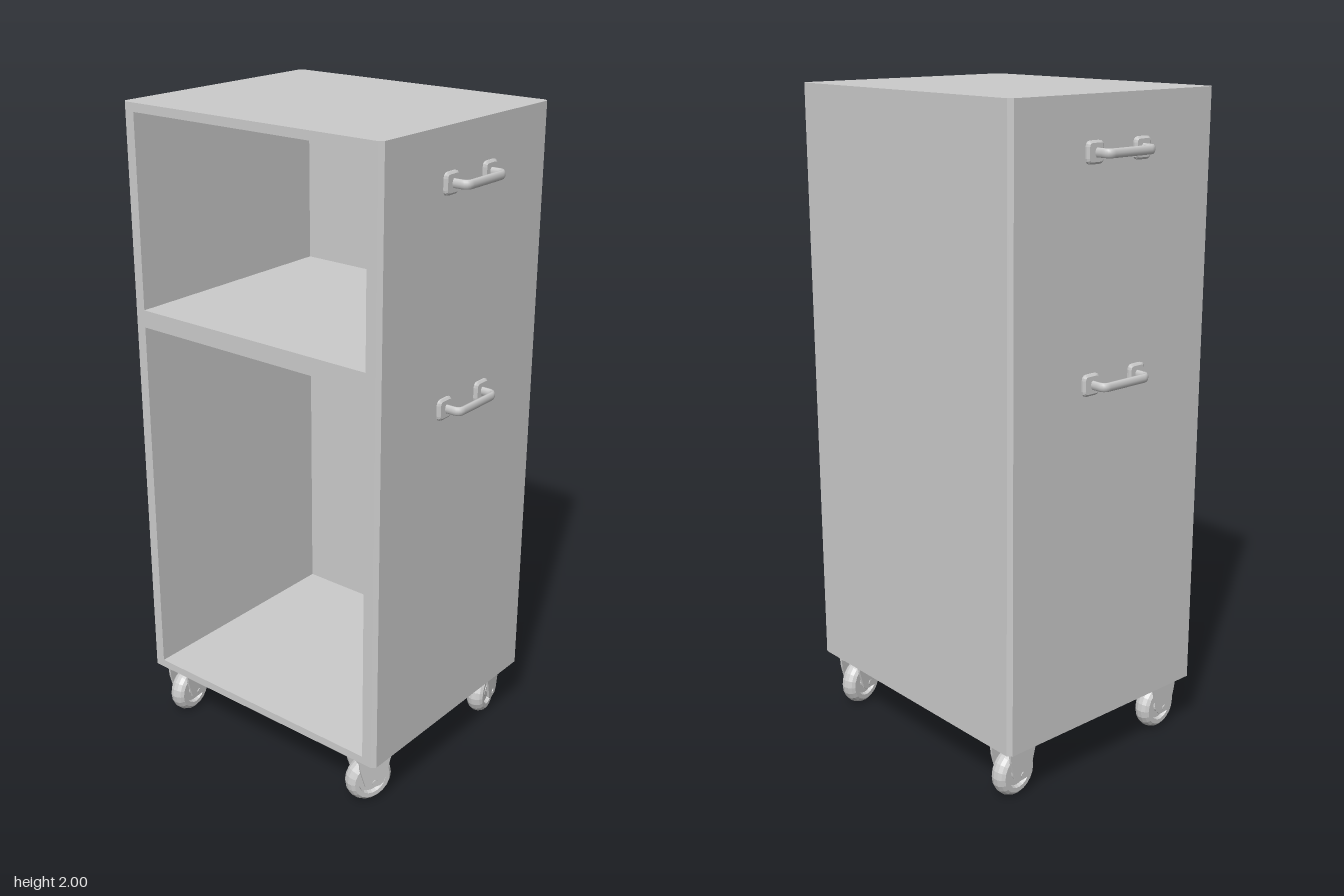
import * as THREE from 'three';

const W = 0.457, D = 0.383, BASE = 0.177, TOP = 2;
const INNER = 0.413, BACK = -0.368, CHAMFER = 0.012;

const grey = new THREE.MeshStandardMaterial({ color: 0xcccccc });
const flatGrey = new THREE.MeshStandardMaterial({ color: 0xcccccc, flatShading: true });

function add(parent, name, geometry, material = flatGrey, x = 0, y = 0, z = 0) {
  const mesh = new THREE.Mesh(geometry, material);
  mesh.name = name;
  mesh.position.set(x, y, z);
  parent.add(mesh);
  return mesh;
}

function polygon(points) {
  return new THREE.Shape(points.map(([x, y]) => new THREE.Vector2(x, y)));
}

function createCabinet() {
  const cabinet = new THREE.Group();
  cabinet.name = 'cabinet';

  // Sides and back: one U-shaped plan with chamfered outer corners, pulled upward
  const c = CHAMFER;
  const plan = polygon([
    [-W + c, -D], [-INNER, -D], [-INNER, -BACK], [INNER, -BACK], [INNER, -D], [W - c, -D],
    [W, -D + c], [W, D - c], [W - c, D], [-W + c, D], [-W, D - c], [-W, -D + c],
  ]);
  const walls = new THREE.ExtrudeGeometry(plan, { depth: TOP - BASE, bevelEnabled: false });
  walls.rotateX(-Math.PI / 2);
  add(cabinet, 'sidesAndBack', walls, flatGrey, 0, BASE, 0);

  // Horizontal boards between the sides
  const boards = [['bottomBoard', BASE, 0.202], ['shelf', 1.345, 1.398], ['topBoard', 1.974, TOP]];
  for (const [name, low, high] of boards) {
    const board = new THREE.BoxGeometry(2 * INNER, high - low, D - BACK);
    add(cabinet, name, board, flatGrey, 0, (low + high) / 2, (D + BACK) / 2);
  }
  return cabinet;
}

// Pull handle pointing to +x, its mounting face at x = 0
function createHandle() {
  const handle = new THREE.Group();
  handle.name = 'handle';

  const s = 0.025;
  const r = 0.01;
  const outline = new THREE.Shape();
  outline.moveTo(-s + r, -s).lineTo(s - r, -s).quadraticCurveTo(s, -s, s, -s + r);
  outline.lineTo(s, s - r).quadraticCurveTo(s, s, s - r, s);
  outline.lineTo(-s + r, s).quadraticCurveTo(-s, s, -s, s - r);
  outline.lineTo(-s, -s + r).quadraticCurveTo(-s, -s, -s + r, -s);
  const plate = new THREE.ExtrudeGeometry(outline, {
    depth: 0.006, bevelThickness: 0.005, bevelSize: 0.006, bevelSegments: 1, curveSegments: 3,
  });
  plate.rotateY(Math.PI / 2);
  for (const z of [-0.09, 0.09]) add(handle, 'handlePlate', plate, flatGrey, 0.002, 0, z);

  // Flattened bar with rounded bends
  const v = (x, z) => new THREE.Vector3(x, 0, z);
  const reach = 0.056, half = 0.088, bend = 0.02;
  const path = new THREE.CurvePath();
  path.add(new THREE.LineCurve3(v(0, -half), v(reach - bend, -half)));
  path.add(new THREE.QuadraticBezierCurve3(v(reach - bend, -half), v(reach, -half), v(reach, -half + bend)));
  path.add(new THREE.LineCurve3(v(reach, -half + bend), v(reach, half - bend)));
  path.add(new THREE.QuadraticBezierCurve3(v(reach, half - bend), v(reach, half), v(reach - bend, half)));
  path.add(new THREE.LineCurve3(v(reach - bend, half), v(0, half)));
  const bar = new THREE.TubeGeometry(path, 48, 0.0075, 10);
  bar.scale(1, 1.75, 1);
  add(handle, 'handleBar', bar, grey);
  return handle;
}

// Caster with its axle along x; the swivel stem lies behind the wheel at -z
function createCaster() {
  const caster = new THREE.Group();
  caster.name = 'caster';
  const axleY = 0.074;

  // Wheel with a rounded tread and recessed hub faces
  const profile = [
    [0, -0.022], [0.02, -0.022], [0.022, -0.016], [0.042, -0.016], [0.046, -0.027], [0.06, -0.027],
    [0.069, -0.019], [0.074, -0.007], [0.074, 0.007], [0.069, 0.019],
    [0.06, 0.027], [0.046, 0.027], [0.042, 0.016], [0.022, 0.016], [0.02, 0.022], [0, 0.022],
  ].map(([r, y]) => new THREE.Vector2(r, y));
  const wheel = new THREE.LatheGeometry(profile, 20);
  wheel.rotateZ(-Math.PI / 2);
  add(caster, 'wheel', wheel, flatGrey, 0, axleY, 0);

  // Tapered fork cheeks; x of the outline is z of the model
  const cheek = polygon([
    [-0.062, 0.168], [-0.05, 0.13], [-0.032, 0.068], [-0.02, 0.058],
    [0.02, 0.058], [0.032, 0.068], [0.05, 0.13], [0.054, 0.168],
  ]);
  const cheekGeometry = new THREE.ExtrudeGeometry(cheek, { depth: 0.007, bevelEnabled: false });
  cheekGeometry.rotateY(-Math.PI / 2);
  for (const x of [-0.034, 0.041]) add(caster, 'forkCheek', cheekGeometry, flatGrey, x, 0, 0);

  // Fork crown, axle and swivel
  add(caster, 'forkCrown', new THREE.BoxGeometry(0.082, 0.014, 0.116), flatGrey, 0, 0.163, -0.004);
  const axle = new THREE.CylinderGeometry(0.009, 0.009, 0.088, 10);
  axle.rotateZ(Math.PI / 2);
  add(caster, 'axle', axle, grey, 0, axleY, 0);
  add(caster, 'swivel', new THREE.CylinderGeometry(0.03, 0.03, 0.03, 16), grey, 0, 0.164, -0.036);
  return caster;
}

export function createModel() {
  const model = new THREE.Group();
  model.name = 'rollingCabinet';
  model.add(createCabinet());

  // Two handles on each side
  for (const y of [1.85, 1.22]) {
    for (const side of [-1, 1]) {
      const handle = createHandle();
      handle.position.set(side * (W - 0.002), y, 0);
      if (side < 0) handle.rotation.y = Math.PI;
      model.add(handle);
    }
  }

  // Casters, each swivelled a little differently
  const casters = [[0.375, 0.305, -0.38], [-0.38, 0.305, 0.08],
    [0.375, -0.302, Math.PI + 0.25], [-0.38, -0.302, Math.PI + 0.1]];
  for (const [x, z, yaw] of casters) {
    const caster = createCaster();
    caster.position.set(x, 0, z);
    caster.rotation.y = yaw;
    model.add(caster);
  }
  return model;
}
